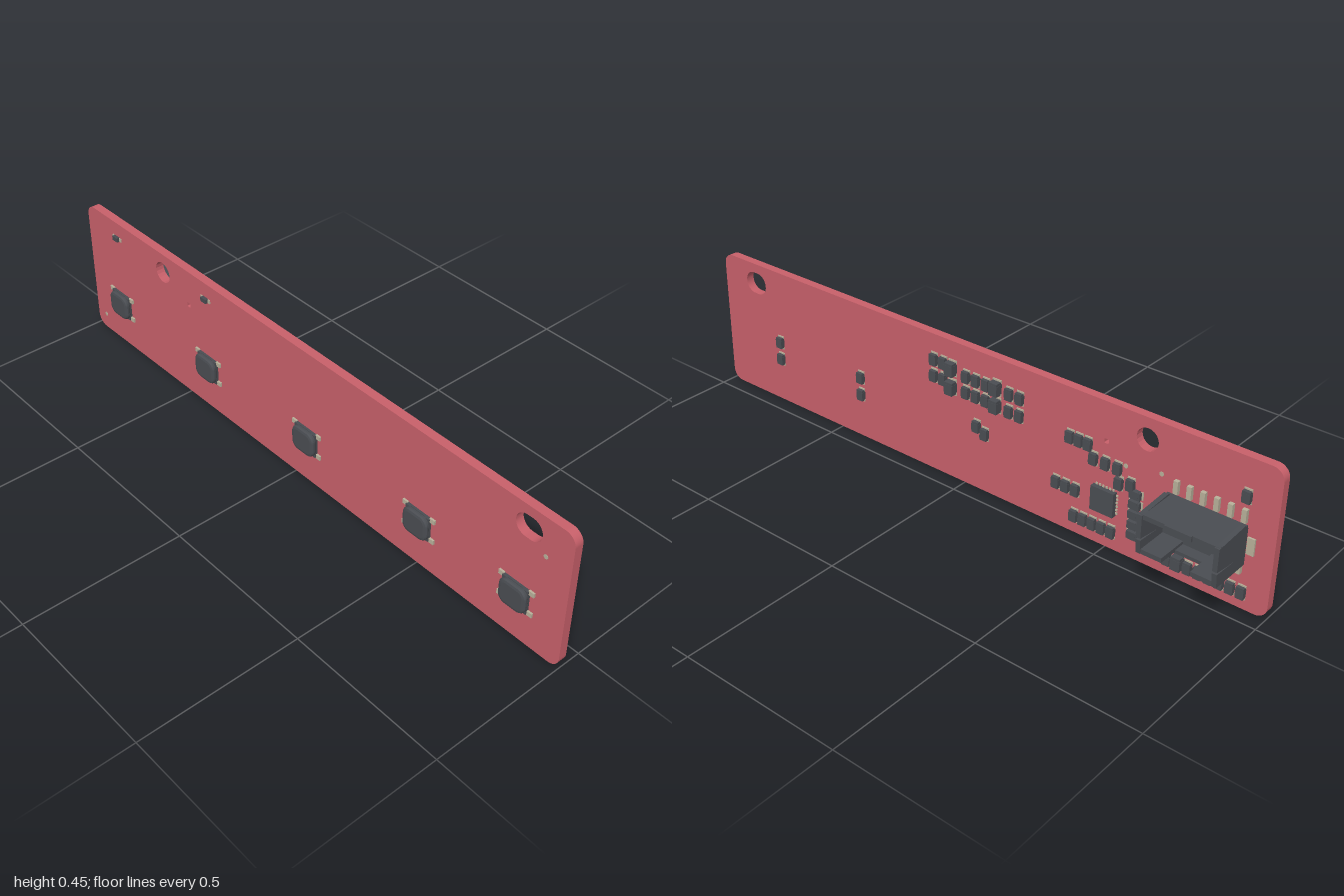
import * as THREE from 'three';

const BACK = 0.052, FRONT = 0.079; // board faces along z
const red = new THREE.MeshStandardMaterial({ color: 0xc8606a });
const dark = new THREE.MeshStandardMaterial({ color: 0x4a4d52 });
const metal = new THREE.MeshStandardMaterial({ color: 0xb8b09a });

function add(parent, name, geometry, material, x = 0, y = 0, z = 0) {
  const mesh = new THREE.Mesh(geometry, material);
  mesh.name = name;
  mesh.position.set(x, y, z);
  parent.add(mesh);
  return mesh;
}

const box = (w, h, d) => new THREE.BoxGeometry(w, h, d);

// Rounded rectangle centred on (x, y); works as a Shape or as a hole
function roundRect(path, x, y, w, h, r) {
  const a = w / 2 - r, b = h / 2 - r;
  path.absarc(x + a, y + b, r, 0, Math.PI / 2);
  path.absarc(x - a, y + b, r, Math.PI / 2, Math.PI);
  path.absarc(x - a, y - b, r, Math.PI, Math.PI * 1.5);
  path.absarc(x + a, y - b, r, Math.PI * 1.5, Math.PI * 2);
  path.closePath();
  return path;
}

function makeBoard() {
  const shape = roundRect(new THREE.Shape(), 0, 0.225, 2, 0.446, 0.035);
  shape.holes.push(
    new THREE.Path().absarc(-0.61, 0.383, 0.034, 0, Math.PI * 2),
    roundRect(new THREE.Path(), 0.86, 0.383, 0.085, 0.07, 0.034),
    roundRect(new THREE.Path(), -0.485, 0.33, 0.014, 0.014, 0.003)
  );
  return new THREE.ExtrudeGeometry(shape, { depth: FRONT - BACK, bevelEnabled: false, curveSegments: 10 });
}

// Push button: base, domed cap and four corner legs
function makeButton(x) {
  const g = new THREE.Group();
  g.name = 'pushButton';
  g.position.set(x, 0.152, FRONT);
  add(g, 'buttonBase', box(0.086, 0.078, 0.01), dark, 0, 0, 0.005);
  const cap = new THREE.ExtrudeGeometry(roundRect(new THREE.Shape(), 0, 0, 0.07, 0.062, 0.016), {
    depth: 0.006, bevelThickness: 0.006, bevelSize: 0.01, bevelSegments: 2, curveSegments: 4
  });
  add(g, 'buttonCap', cap, dark, 0, 0, 0.01);
  for (const sx of [-1, 1]) for (const sy of [-1, 1])
    add(g, 'buttonLeg', box(0.018, 0.014, 0.006), metal, sx * 0.05, sy * 0.035, 0.003);
  return g;
}

// Small surface part on the back: body between two solder pads
function makeChip(x, y, w = 0.024, h = 0.036, d = 0.014) {
  const g = new THREE.Group();
  g.name = 'chip';
  g.position.set(x, y, BACK);
  add(g, 'chipBody', box(w, h * 0.6, d), dark, 0, 0, -d / 2);
  for (const s of [-1, 1]) {
    add(g, 'chipEnd', box(w * 0.95, h * 0.2, d * 0.95), dark, 0, s * h * 0.38, -d / 2);
    add(g, 'chipPad', box(w, h * 0.22, 0.003), metal, 0, s * h * 0.5, -0.0015);
  }
  return g;
}

// Shrouded socket opening to the back, with two rows of pins
function makeConnector() {
  const g = new THREE.Group();
  g.name = 'connector';
  g.position.set(-0.81, 0, 0);
  add(g, 'socketFloor', box(0.235, 0.11, 0.03), dark, 0, 0.208, 0.02);
  // Upper wall and lower wall
  add(g, 'upperWall', box(0.235, 0.014, 0.13), dark, 0, 0.261, -0.03);
  for (const s of [-1, 1]) {
    add(g, 'lowerWall', box(0.075, 0.014, 0.13), dark, s * 0.08, 0.157, -0.03);
    // Side wall, tapered and notched at the mouth
    const side = new THREE.Shape();
    [[-0.035, 0.15], [0.096, 0.15], [0.1, 0.192], [0.02, 0.188], [0.1, 0.198], [0.1, 0.267], [-0.02, 0.274], [-0.035, 0.26]]
      .forEach(([z, y], i) => (i ? side.lineTo(z, y) : side.moveTo(z, y)));
    const wall = add(g, 'sideWall', new THREE.ExtrudeGeometry(side, { depth: 0.014, bevelEnabled: false }), dark, s * 0.112 + 0.007);
    wall.rotation.y = Math.PI / 2;
    wall.position.x = s * 0.112 - 0.007;
  }
  add(g, 'mouthTab', box(0.08, 0.016, 0.01), dark, 0, 0.261, -0.096);
  // Sloping latch below the shroud
  const latch = new THREE.Shape();
  latch.moveTo(-0.035, 0.13);
  latch.lineTo(0.03, 0.145);
  latch.lineTo(0.03, 0.155);
  latch.lineTo(-0.035, 0.155);
  add(g, 'latch', new THREE.ExtrudeGeometry(latch, { depth: 0.09, bevelEnabled: false }), dark, -0.045).rotation.y = Math.PI / 2;
  for (let i = 0; i < 6; i++) {
    const x = -0.1 + i * 0.04;
    for (const y of [0.13, 0.283]) {
      add(g, 'pinFoot', box(0.014, 0.04, 0.012), metal, x, y, BACK - 0.006);
    }
  }
  for (const s of [-1, 1]) add(g, 'mountPad', box(0.022, 0.05, 0.006), metal, s * 0.125, 0.2, BACK - 0.003);
  return g;
}

export function createModel() {
  const model = new THREE.Group();
  model.name = 'buttonBoard';
  add(model, 'circuitBoard', makeBoard(), red, 0, 0, BACK);

  for (const x of [-0.845, -0.4, 0.05, 0.5, 0.845]) model.add(makeButton(x));

  // Indicator lamps on the front
  for (const x of [-0.845, -0.4]) {
    add(model, 'indicatorLamp', box(0.024, 0.014, 0.011), dark, x, 0.394, FRONT + 0.005);
    for (const s of [-1, 1]) add(model, 'lampPad', box(0.01, 0.012, 0.003), metal, x + s * 0.017, 0.394, FRONT + 0.001);
  }

  // Round alignment marks on both faces
  for (const [x, y, z] of [[0.92, 0.33, FRONT], [-0.955, 0.055, FRONT], [-0.55, 0.28, BACK], [-0.66, 0.3, BACK]]) {
    add(model, 'alignmentMark', new THREE.CylinderGeometry(0.007, 0.007, 0.002, 12), metal, x, y, z).rotation.x = Math.PI / 2;
  }

  // Rows and columns of chips: start x, start y, step x, step y, count
  const rows = [
    [0.76, 0.21, 0, -0.058, 2], [0.41, 0.207, 0, -0.058, 2],
    [0.115, 0.37, -0.035, 0, 2], [0.115, 0.318, -0.035, 0, 2],
    [-0.005, 0.355, -0.036, 0, 3], [-0.005, 0.305, -0.036, 0, 3],
    [-0.16, 0.355, -0.037, 0, 2], [-0.16, 0.3, -0.037, 0, 2],
    [-0.045, 0.21, -0.03, -0.015, 2],
    [-0.37, 0.302, -0.03, 0, 3], [-0.45, 0.265, -0.039, 0, 3],
    [-0.535, 0.222, -0.037, 0.01, 2], [-0.33, 0.143, -0.033, 0, 3],
    [-0.395, 0.06, -0.031, 0, 5], [-0.7, 0.055, -0.032, 0, 8], [-0.91, 0.34, 0, 0, 1]
  ];
  for (const [x, y, dx, dy, n] of rows)
    for (let i = 0; i < n; i++) model.add(makeChip(x + i * dx, y + i * dy));

  // Column of sideways chips beside the controller
  for (let i = 0; i < 5; i++) {
    const chip = makeChip(-0.59, 0.21 - i * 0.032);
    chip.rotation.z = Math.PI / 2;
    model.add(chip);
  }

  // Taller parts
  for (const [x, y] of [[0.047, 0.365], [0.047, 0.305], [-0.115, 0.36], [-0.115, 0.305], [-0.735, 0.062]])
    model.add(makeChip(x, y, 0.03, 0.042, 0.024));

  // Controller with contact pads around it
  add(model, 'controller', box(0.075, 0.075, 0.016), dark, -0.49, 0.15, BACK - 0.008);
  for (let i = 0; i < 6; i++) {
    const t = (i - 2.5) * 0.011;
    for (const s of [-1, 1]) {
      add(model, 'controllerPad', box(0.008, 0.006, 0.003), metal, -0.49 + s * 0.04, 0.15 + t, BACK - 0.001);
      add(model, 'controllerPad', box(0.006, 0.008, 0.003), metal, -0.49 + t, 0.15 + s * 0.04, BACK - 0.001);
    }
  }

  model.add(makeConnector());
  return model;
}
